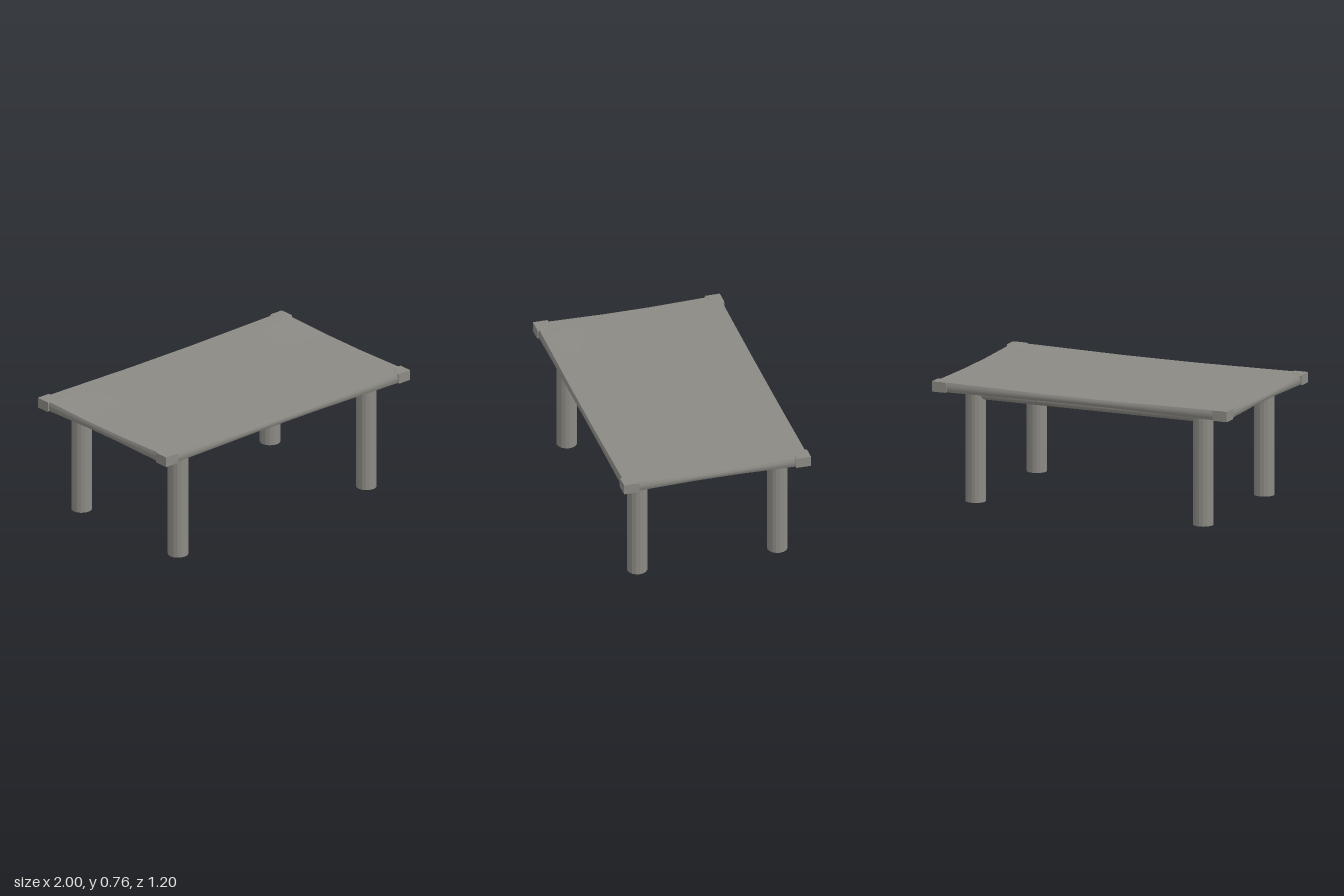
import * as THREE from 'three';
import { toCreasedNormals } from 'three/addons/utils/BufferGeometryUtils.js';

export function createModel() {
  const table = new THREE.Group();
  table.name = 'table';
  const grey = new THREE.MeshStandardMaterial({ color: 0x8c8a84 });
  grey.name = 'warm grey';

  const add = (name, geometry, x, y, z) => {
    const mesh = new THREE.Mesh(geometry, grey);
    mesh.name = name;
    mesh.position.set(x, y, z);
    table.add(mesh);
    return mesh;
  };

  // Table top: a thin slab with softened edges that thickens towards its corners
  const slab = new THREE.BoxGeometry(2, 2, 2, 24, 4, 16);
  const p = slab.attributes.position;
  const rise = (t) => THREE.MathUtils.clamp((Math.abs(t) - 0.25) / 0.65, 0, 1);
  for (let i = 0; i < p.count; i++) {
    const x = p.getX(i), y = p.getY(i), z = p.getZ(i);
    const half = 0.022 + 0.009 * rise(x) * rise(z);
    const inset = 0.008 * y * y;
    p.setXYZ(i, x * (0.993 - inset), y * half, z * (0.595 - inset));
  }
  slab.computeVertexNormals();
  add('tableTop', toCreasedNormals(slab, 0.6), 0, 0.732, 0);

  // Corner pads: quarter discs with a bevelled inner rim
  const quarter = new THREE.Shape();
  quarter.moveTo(0, 0);
  quarter.lineTo(0.085, 0);
  quarter.absarc(0, 0, 0.085, 0, Math.PI / 2, false);
  quarter.lineTo(0, 0);
  const pad = new THREE.ExtrudeGeometry(quarter, {
    depth: 0.053, curveSegments: 8,
    bevelEnabled: true, bevelThickness: 0.006, bevelSize: 0.006, bevelSegments: 1,
  });
  pad.rotateX(Math.PI / 2);
  // Keep the outer walls upright so the corner stays sharp
  const q = pad.attributes.position;
  for (let i = 0; i < q.count; i++) {
    if (q.getX(i) < 0.001) q.setX(i, -0.006);
    if (q.getZ(i) < 0.001) q.setZ(i, -0.006);
  }
  const padGeometry = toCreasedNormals(pad, 0.5);
  const turns = [[-1, -1, 0], [-1, 1, 1], [1, 1, 2], [1, -1, 3]];
  for (const [sx, sz, turn] of turns) {
    add('cornerPad', padGeometry, sx * 0.994, 0.759, sz * 0.594).rotation.y = turn * Math.PI / 2;
  }

  // Four round legs
  const leg = toCreasedNormals(new THREE.CylinderGeometry(0.064, 0.064, 0.72, 16), 0.3);
  for (const x of [-0.772, 0.772]) {
    for (const z of [-0.45, 0.45]) add('leg', leg, x, 0.36, z);
  }

  // Round rails joining the legs along each long side
  const rail = new THREE.CylinderGeometry(0.035, 0.035, 1.46, 16);
  rail.rotateZ(Math.PI / 2);
  for (const z of [-0.45, 0.45]) add('rail', rail, 0, 0.682, z);

  return table;
}
